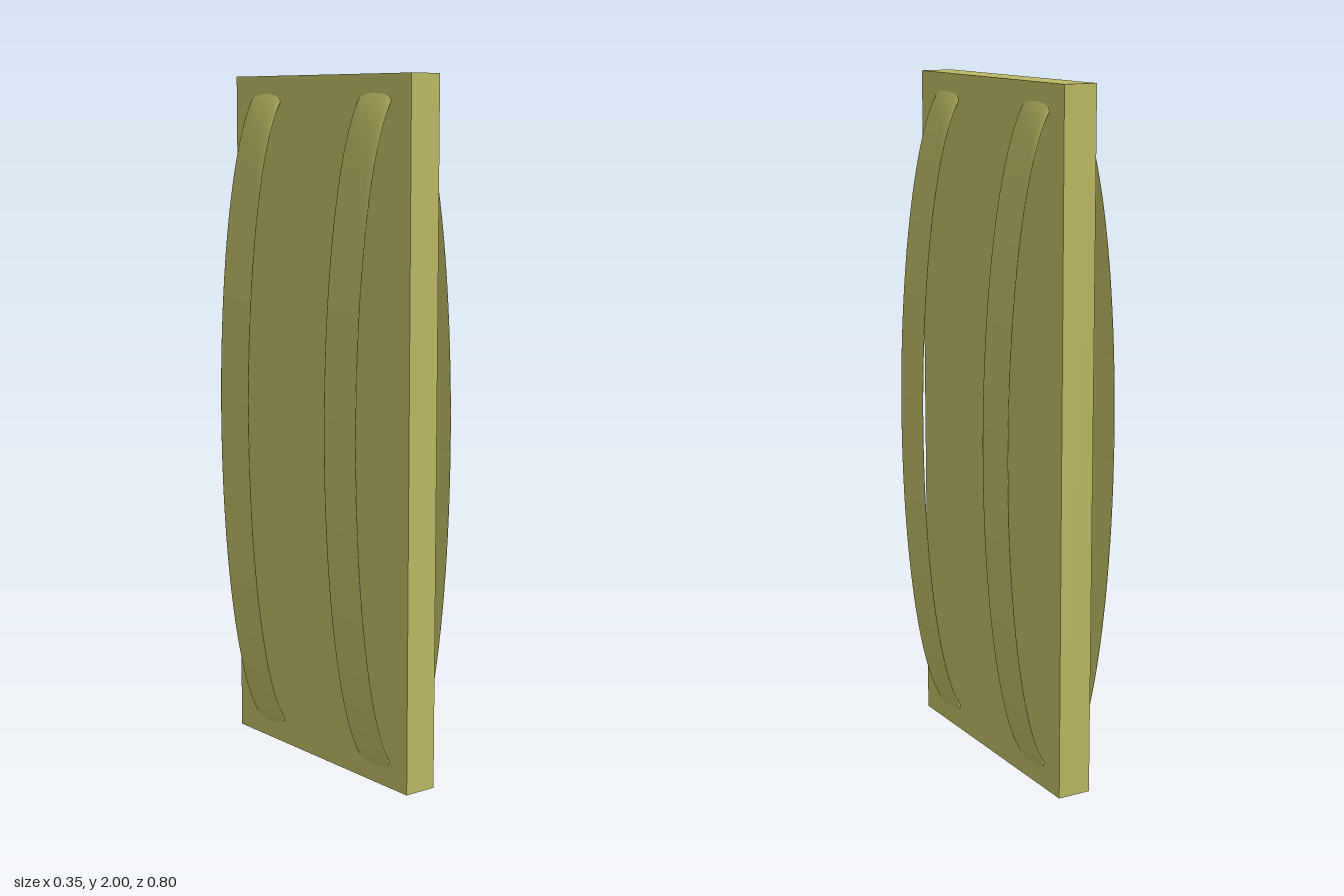
import * as THREE from 'three';

export function createModel() {
  const group = new THREE.Group();
  const material = new THREE.MeshStandardMaterial({ color: 0xbab863 });

  // Upright flat board
  const board = new THREE.Mesh(new THREE.BoxGeometry(0.1, 2, 0.8), material);
  board.name = 'board';
  board.position.y = 1;
  group.add(board);

  // Two thin bowed straps: tori squashed into tall, narrow ellipses,
  // leaning very slightly and passing through the board at both ends
  const tube = 0.022;
  for (const [name, z] of [['frontStrap', 0.25], ['backStrap', -0.25]]) {
    const geometry = new THREE.TorusGeometry(1 - tube, tube, 24, 96);
    geometry.scale(0.176, 0.99, 0.071 / tube);
    const strap = new THREE.Mesh(geometry, material);
    strap.name = name;
    strap.position.set(0, 1, z);
    strap.rotation.x = -0.0045;
    group.add(strap);
  }

  return group;
}
